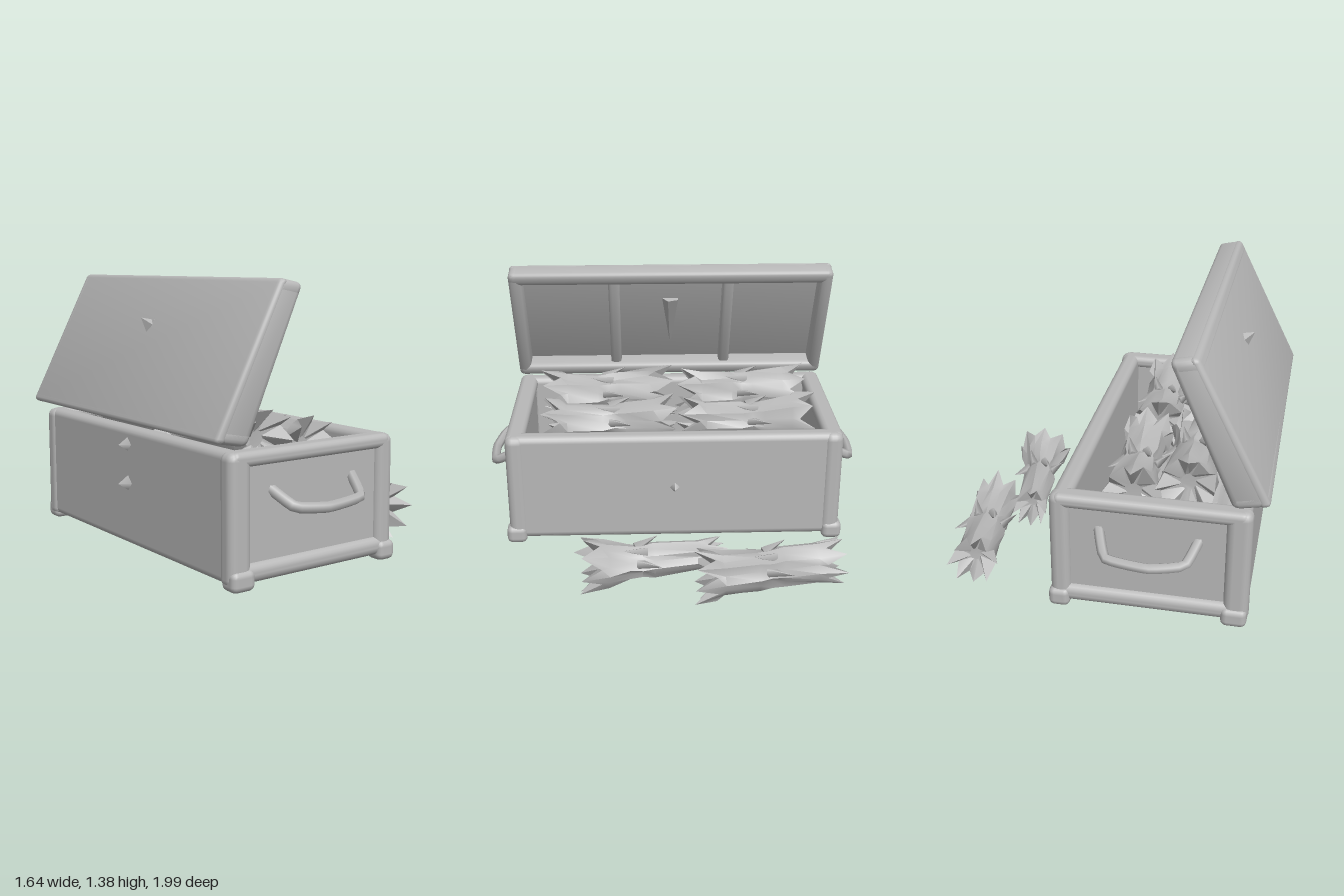
import * as THREE from 'three';
import { toCreasedNormals } from 'three/addons/utils/BufferGeometryUtils.js';
import { RoundedBoxGeometry } from 'three/addons/geometries/RoundedBoxGeometry.js';

const grey = new THREE.MeshStandardMaterial({ color: 0xb8b8b8, side: THREE.DoubleSide });

function add(parent, name, geometry) {
  const mesh = new THREE.Mesh(geometry, grey);
  mesh.name = name;
  parent.add(mesh);
  return mesh;
}

// Soft-edged beam or panel given by its two extreme corners
function beam(parent, name, [x0, y0, z0], [x1, y1, z1], radius = 0.025) {
  const size = [x1 - x0, y1 - y0, z1 - z0];
  const r = Math.min(radius, Math.min(...size) * 0.45);
  const mesh = add(parent, name, new RoundedBoxGeometry(...size, 2, r));
  mesh.position.set((x0 + x1) / 2, (y0 + y1) / 2, (z0 + z1) / 2);
  return mesh;
}

function seeded(seed) {
  return () => {
    seed = (seed * 16807) % 2147483647;
    return seed / 2147483647;
  };
}

// Sheaf along +z: pinched waist, zigzag torn ends, closed by a ragged hollow at each end
function sheafSkin(length, rStart, rWaist, rEnd, waistAt, random) {
  const n = 16;
  const rings = [
    [0.17, rStart * 0.3], [0, rStart * 1.08], [0.2, rStart * 0.95], [waistAt - 0.08, rWaist * 1.08],
    [waistAt, rWaist], [waistAt + 0.08, rWaist * 1.08], [0.8, rEnd * 0.9], [1, rEnd * 1.1], [0.83, rEnd * 0.3],
  ];
  const last = rings.length - 1;
  const positions = [], indices = [];
  rings.forEach(([t, r], i) => {
    for (let j = 0; j < n; j++) {
      const angle = (j / n) * Math.PI * 2 + (random() - 0.5) * 0.12;
      const notch = j % 2 ? 0.15 : random() * 0.06;
      let at = t;
      if (i === 1) at += notch;
      if (i === last - 1) at -= notch;
      const radius = r * (0.86 + 0.2 * random()) * (j % 2 ? 0.9 : 1);
      positions.push(Math.cos(angle) * radius, Math.sin(angle) * radius, at * length);
      if (i === 0) continue;
      const a = (i - 1) * n + j, b = (i - 1) * n + (j + 1) % n;
      indices.push(a, b, b + n, a, b + n, a + n);
    }
  });
  // Close the innermost rings
  for (let j = 1; j < n - 1; j++) {
    indices.push(0, j + 1, j, last * n, last * n + j, last * n + j + 1);
  }
  const geometry = new THREE.BufferGeometry();
  geometry.setAttribute('position', new THREE.Float32BufferAttribute(positions, 3));
  geometry.setIndex(indices);
  return toCreasedNormals(geometry, 0.7);
}

function sheaf(parent, name, from, to, rStart, rWaist, rEnd, waistAt, seed) {
  const group = new THREE.Group();
  group.name = name;
  const start = new THREE.Vector3(...from), end = new THREE.Vector3(...to);
  const length = start.distanceTo(end);
  add(group, 'stalks', sheafSkin(length, rStart, rWaist, rEnd, waistAt, seeded(seed)));
  // Loose leaves at the waist
  for (let k = 0; k < 4; k++) {
    const angle = 0.3 + k * 0.85;
    const leaf = add(group, 'looseLeaf', new THREE.ConeGeometry(0.028, 0.13, 4));
    const out = new THREE.Vector3(Math.cos(angle), Math.sin(angle) * 0.5, k % 2 ? 1.4 : -1.4).normalize();
    leaf.position.set(Math.cos(angle) * rWaist * 0.9, Math.sin(angle) * rWaist * 0.9, waistAt * length)
      .addScaledVector(out, 0.04);
    leaf.quaternion.setFromUnitVectors(new THREE.Vector3(0, 1, 0), out);
  }
  group.position.copy(start);
  group.lookAt(end);
  parent.add(group);
}

function createBox() {
  const box = new THREE.Group();
  box.name = 'box';
  beam(box, 'floor', [-0.73, 0.06, -0.85], [0.175, 0.12, 0.85]);
  beam(box, 'leftWall', [0.085, 0.06, -0.85], [0.18, 0.64, 0.85], 0.035);
  beam(box, 'rightWall', [-0.74, 0.06, -0.85], [-0.65, 0.64, 0.85], 0.035);
  for (const s of [-1, 1]) {
    const span = (a, b) => (s > 0 ? [a, b] : [-b, -a]);
    const [p0, p1] = span(0.78, 0.84);
    beam(box, 'endPanel', [-0.7, 0.08, p0], [0.15, 0.62, p1]);
    const [r0, r1] = span(0.77, 0.87);
    beam(box, 'bottomRail', [-0.73, 0.06, r0], [0.17, 0.15, r1], 0.04);
    beam(box, 'topRail', [-0.73, 0.57, r0], [0.17, 0.64, r1], 0.03);
    for (const [x0, x1] of [[-0.75, -0.63], [0.09, 0.19]]) {
      beam(box, 'cornerPost', [x0, 0.05, r0], [x1, 0.64, r1], 0.04);
      const [f0, f1] = span(0.78, 0.885);
      beam(box, 'cornerFoot', [x0 + 0.005, 0.035, f0], [x1 + 0.008, 0.13, f1], 0.03);
    }
    // Carrying handle
    const path = new THREE.CatmullRomCurve3([
      [-0.51, 0.46, 0.82], [-0.46, 0.39, 0.94], [-0.3, 0.375, 0.975], [-0.1, 0.39, 0.955], [-0.04, 0.47, 0.82],
    ].map(([x, y, z]) => new THREE.Vector3(x, y, z * s)), false, 'catmullrom', 0.2);
    add(box, 'handle', new THREE.TubeGeometry(path, 20, 0.025, 6));
  }
  // Catch and hinge studs
  for (const [x, y, side] of [[0.19, 0.35, -1], [-0.765, 0.37, 1], [-0.76, 0.56, 1]]) {
    const stud = add(box, 'stud', new THREE.ConeGeometry(0.04, 0.06, 4));
    stud.position.set(x, y, 0);
    stud.rotation.z = side * Math.PI / 2;
  }
  return box;
}

// Built upright: x is thickness (inside faces +x), y runs away from the hinge
function createLid() {
  const lid = new THREE.Group();
  lid.name = 'lid';
  const h = 0.757, d = 0.145, w = 0.87;
  beam(lid, 'lidPanel', [0, 0, -w], [0.05, h, w]);
  beam(lid, 'hingeRail', [0, 0, -w], [d, 0.08, w], 0.03);
  beam(lid, 'frontRail', [0, h - 0.08, -w], [d, h, w], 0.03);
  for (const s of [-1, 1]) {
    beam(lid, 'sideRail', [0, 0, s * 0.835 - 0.035], [d, h, s * 0.835 + 0.035], 0.03);
    beam(lid, 'rib', [0.03, 0.03, s * 0.31 - 0.03], [0.115, h - 0.04, s * 0.31 + 0.03], 0.02);
  }
  // Tapered clasp on the inside and its hook on the outside
  const clasp = add(lid, 'clasp', new THREE.ConeGeometry(0.05, 0.38, 5));
  clasp.rotation.z = Math.PI;
  clasp.position.set(0.045, 0.34, 0);
  const hook = add(lid, 'claspHook', new THREE.ConeGeometry(0.045, 0.1, 4));
  hook.rotation.z = Math.PI / 2 - 0.4;
  hook.position.set(-0.015, 0.5, -0.01);
  // Taper the thickness towards the front and slope both end faces
  for (const mesh of lid.children) {
    mesh.updateMatrix();
    const geometry = mesh.geometry.applyMatrix4(mesh.matrix);
    const p = geometry.attributes.position;
    for (let i = 0; i < p.count; i++) {
      const x = p.getX(i) * (1.15 - 0.3 * p.getY(i) / h);
      p.setXY(i, x, p.getY(i) + 0.28 * x);
    }
    mesh.geometry = toCreasedNormals(geometry, 0.7);
    mesh.position.set(0, 0, 0);
    mesh.rotation.set(0, 0, 0);
  }
  lid.position.set(-0.826, 0.69, 0);
  lid.rotation.z = -0.471;
  return lid;
}

export function createModel() {
  const model = new THREE.Group();
  model.name = 'chestOfSheaves';
  model.add(createBox(), createLid());

  // Sheaves packed in two layers inside the box
  const packed = new THREE.Group();
  packed.name = 'packedSheaves';
  [-0.78, -0.04].forEach((z, i) => {
    const end = z + 0.76;
    sheaf(packed, 'topSheaf', [-0.18, 0.58, z], [-0.13, 0.58, end], 0.14, 0.1, 0.13, 0.47, 11 + i);
    sheaf(packed, 'topSheaf', [-0.43, 0.65, z + 0.02], [-0.41, 0.63, end], 0.14, 0.11, 0.14, 0.5, 31 + i);
    sheaf(packed, 'lowerSheaf', [-0.1, 0.3, z], [-0.1, 0.3, end], 0.14, 0.12, 0.14, 0.5, 51 + i);
    sheaf(packed, 'lowerSheaf', [-0.45, 0.3, z], [-0.45, 0.3, end], 0.14, 0.12, 0.14, 0.5, 71 + i);
  });
  model.add(packed);

  // Two sheaves lying on the ground beside the box
  sheaf(model, 'looseSheaf', [0.6, 0.155, -0.83], [0.695, 0.13, -0.06], 0.11, 0.1, 0.125, 0.5, 91);
  sheaf(model, 'looseSheaf', [0.47, 0.13, -0.26], [0.59, 0.13, 0.5], 0.085, 0.085, 0.135, 0.58, 113);
  return model;
}
